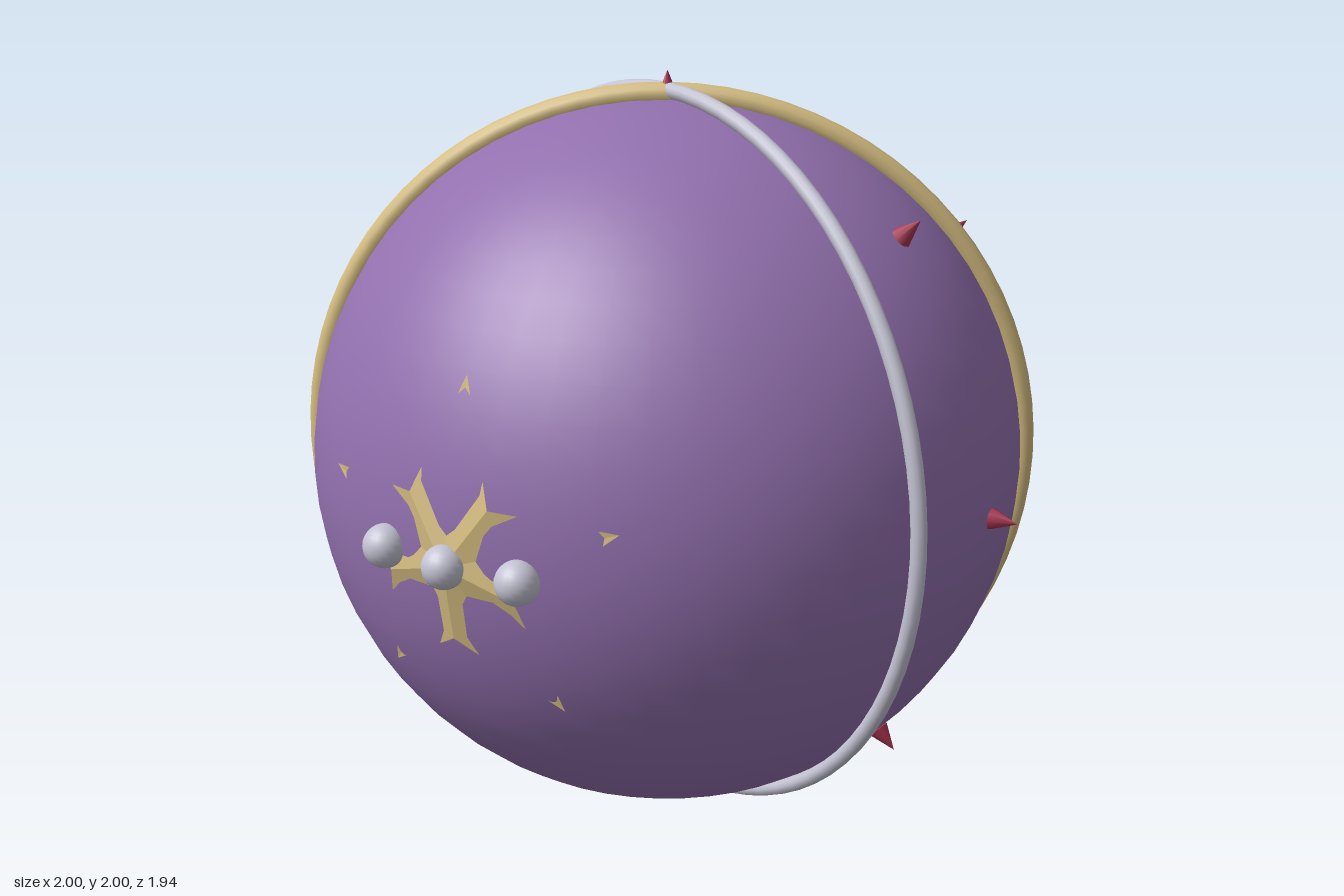
import * as THREE from 'three';

const R = 0.93; // globe radius

const paint = (name, color) => {
  const m = new THREE.MeshStandardMaterial({ color });
  m.name = name;
  return m;
};

// Five-pointed star whose corners hug the globe, so parts of its flat facets sink below the surface
function starGeometry() {
  const onGlobe = (r, angle, radius) =>
    [r * Math.cos(angle), r * Math.sin(angle), Math.sqrt(radius * radius - r * r)];
  const rim = i => {
    const outer = i % 2 === 0;
    return onGlobe(outer ? 0.43 : 0.19, Math.PI / 2 + i * Math.PI / 5, outer ? 0.9348 : 0.9367);
  };
  const points = [];
  for (let i = 0; i < 10; i++) points.push(0, 0, 0.946, ...rim(i), ...rim(i + 1));
  const g = new THREE.BufferGeometry();
  g.setAttribute('position', new THREE.Float32BufferAttribute(points, 3));
  g.computeVertexNormals();
  return g;
}

export function createModel() {
  const purple = paint('purple', 0x9270ae);
  const gold = paint('gold', 0xd4bc80);
  gold.side = THREE.DoubleSide;
  const silver = paint('silver', 0xc4c3d3);
  const crimson = paint('crimson', 0xa83450);

  const model = new THREE.Group();
  model.name = 'ornament';
  model.position.set(0, 1, -0.022);
  const add = (name, geometry, material) => {
    const mesh = new THREE.Mesh(geometry, material);
    mesh.name = name;
    model.add(mesh);
    return mesh;
  };

  add('globe', new THREE.SphereGeometry(R, 48, 32), purple);

  // Two upright bands crossing at the poles
  add('goldBand', new THREE.TorusGeometry(0.94, 0.03, 12, 80), gold).rotation.y = 0.5;
  add('silverBand', new THREE.TorusGeometry(0.95, 0.02, 12, 80), silver).rotation.y = -0.35;

  // Stars on the front and back
  const star = starGeometry();
  add('frontStar', star, gold);
  add('backStar', star, gold).rotation.y = Math.PI;

  // Row of three pearls on the front star
  const pearl = new THREE.SphereGeometry(0.053, 20, 14);
  for (const x of [-0.193, 0, 0.193])
    add('pearl', pearl, silver).position.set(x, 0, Math.sqrt(0.94 * 0.94 - x * x));

  // Spikes: eight around the upright middle circle, four on the back corners
  const directions = [];
  for (let i = 0; i < 8; i++)
    directions.push(new THREE.Vector3(Math.cos(i * Math.PI / 4), Math.sin(i * Math.PI / 4), 0));
  for (const x of [-1, 1])
    for (const y of [-1, 1]) directions.push(new THREE.Vector3(x, y, -1).normalize());

  const spike = new THREE.ConeGeometry(0.028, 0.068, 8);
  const up = new THREE.Vector3(0, 1, 0);
  for (const d of directions) {
    const mesh = add('spike', spike, crimson);
    mesh.position.copy(d).multiplyScalar(0.966);
    mesh.quaternion.setFromUnitVectors(up, d);
  }

  const root = new THREE.Group();
  root.name = 'model';
  root.add(model);
  return root;
}
